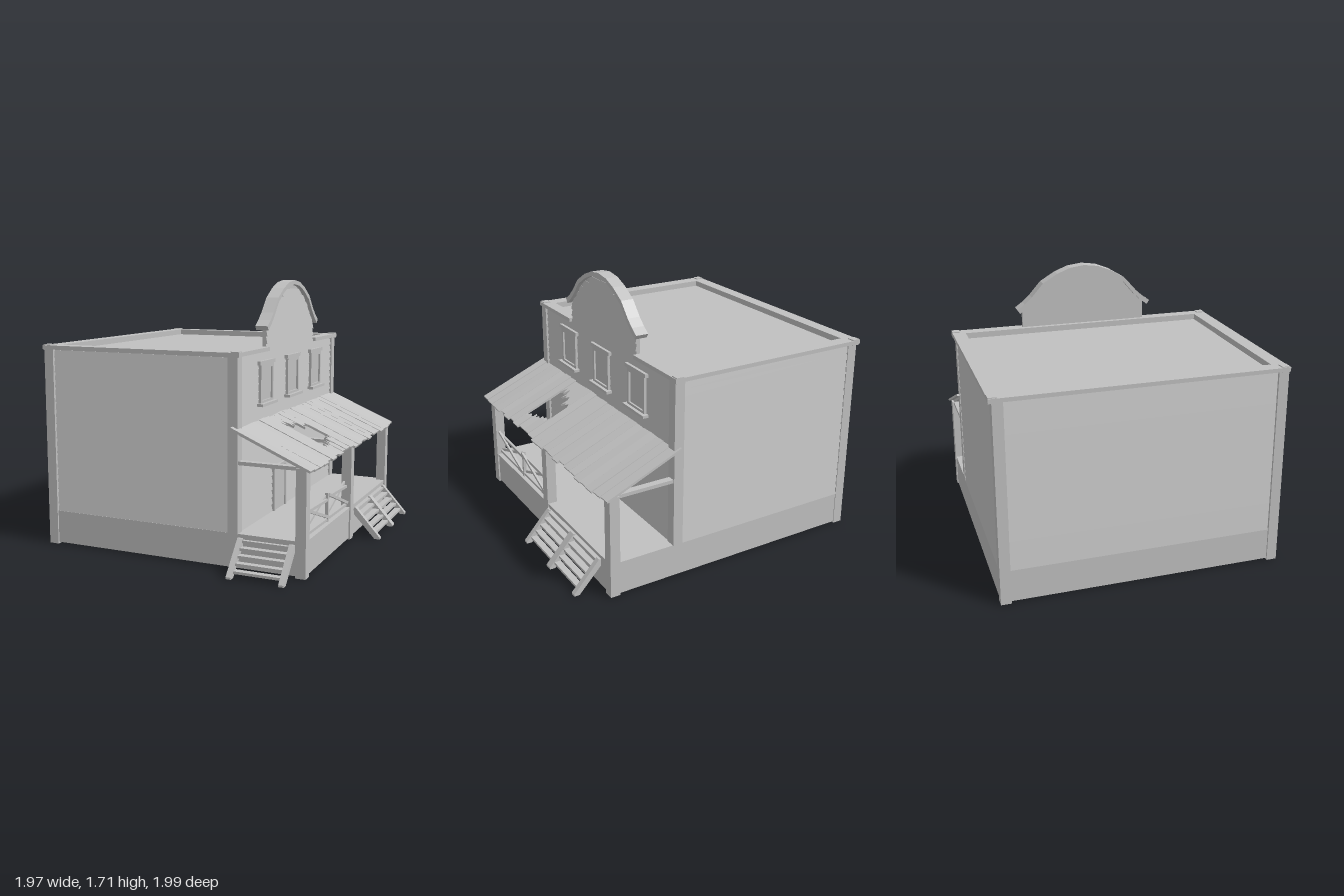
import * as THREE from 'three';
import { mergeGeometries } from 'three/addons/utils/BufferGeometryUtils.js';

const wood = new THREE.MeshStandardMaterial({ color: 0xc0c0c0 });
wood.name = 'weatheredWood';

const MID = -0.08;                 // z of the building's centre line
const FLOOR = 0.22;                // top of the foundation
const ROW = 0.0477;                // height of one siding board

let seed = 7;
const rand = () => (seed = (seed * 16807) % 2147483647) / 2147483647;

// Box given by its minimum and maximum corners
function box(x0, x1, y0, y1, z0, z1) {
  const g = new THREE.BoxGeometry(x1 - x0, y1 - y0, z1 - z0);
  return g.translate((x0 + x1) / 2, (y0 + y1) / 2, (z0 + z1) / 2);
}

// Straight bar between two points; h is measured across the slope, w sideways
function bar(a, b, h, w) {
  const va = new THREE.Vector3(...a), vb = new THREE.Vector3(...b);
  const m = new THREE.Matrix4().lookAt(vb, va, new THREE.Vector3(0, 1, 0));
  m.setPosition(va.clone().add(vb).multiplyScalar(0.5));
  return new THREE.BoxGeometry(w, h, va.distanceTo(vb)).applyMatrix4(m);
}

// Lapped board facing +z, thick at its lower edge
function clapboard(x0, x1, y) {
  const g = box(x0, x1, y, y + ROW, -0.01, 0.013);
  const p = g.attributes.position;
  for (let i = 0; i < p.count; i++)
    if (p.getZ(i) > 0 && p.getY(i) > y + ROW / 2) p.setZ(i, 0.003);
  g.computeVertexNormals();
  return g;
}

function siding(length) {
  const rows = [];
  for (let i = 0; i < 22; i++) rows.push(clapboard(-length / 2, length / 2, FLOOR + i * ROW));
  return mergeGeometries(rows);
}

// Half outline of the arched gable: offset from centre, height
const ARCH = [[0, 1.708], [0.1, 1.695], [0.19, 1.66], [0.29, 1.6], [0.37, 1.51], [0.42, 1.465], [0.47, 1.43]];

function mirrored(points) {
  return [...points.slice(1).reverse().map(([u, y]) => [-u, y]), ...points];
}

function extrudeX(points, x0, x1) {
  const shape = new THREE.Shape(points.map(([u, y]) => new THREE.Vector2(u, y)));
  const g = new THREE.ExtrudeGeometry(shape, { depth: x1 - x0, bevelEnabled: false });
  return g.rotateY(Math.PI / 2).translate(x0, 0, MID);
}

// Half width of the gable wall at height y
function gableHalfWidth(y) {
  if (y < 1.42) return 0.43;
  for (let i = 1; i < ARCH.length; i++) {
    const [u0, y0] = ARCH[i - 1], [u1, y1] = ARCH[i];
    if (y <= y0 - 0.02 && y >= y1 - 0.02)
      return Math.min(0.43, u0 + (u1 - u0) * (y0 - 0.02 - y) / (y0 - y1));
  }
  return 0;
}

// Porch roof board along the slope, with splintered ends where broken
function roofBoard(u0, u1, w, jag0, jag1) {
  const s = new THREE.Shape();
  const n = 4;
  for (let i = 0; i <= n; i++) {
    const j = jag1 ? (i % 2 ? 0.035 : 0) + rand() * 0.02 : 0;
    if (i) s.lineTo(u1 - j, -w / 2 + w * i / n); else s.moveTo(u1 - j, -w / 2);
  }
  for (let i = n; i >= 0; i--)
    s.lineTo(u0 + (jag0 ? (i % 2 ? 0.035 : 0) + rand() * 0.02 : 0), -w / 2 + w * i / n);
  const g = new THREE.ExtrudeGeometry(s, { depth: 0.014, bevelEnabled: false });
  return g.rotateX(-Math.PI / 2);
}

// Flight of open steps descending along +x from the origin, centred on z
function stairs(width, stringers) {
  const parts = [];
  const half = width / 2 - 0.016;
  for (let i = 0; i < stringers; i++) {
    const z = -half + 2 * half * i / (stringers - 1);
    const w = stringers === 3 && i === 1 ? 0.05 : 0.033;
    // Plumb cut at the top, level cut on the ground
    const s = new THREE.Shape([[0, 0.2], [0.012, 0.2], [0.18, 0.012], [0.18, 0], [0.145, 0], [0, 0.155]]
      .map(([x, y]) => new THREE.Vector2(x, y)));
    parts.push(new THREE.ExtrudeGeometry(s, { depth: w, bevelEnabled: false })
      .translate(0, 0, z - w / 2).toNonIndexed());
  }
  for (let i = 0; i < 5; i++) {
    const y = 0.19 - i * 0.037, x = 0.165 - y * 0.88;
    parts.push(box(x - 0.022, x + 0.02, y - 0.016, y, -half, half).toNonIndexed());
  }
  return mergeGeometries(parts);
}

export function createModel() {
  const model = new THREE.Group();
  const add = (name, geo, parent = model) => {
    const m = new THREE.Mesh(Array.isArray(geo) ? mergeGeometries(geo) : geo, wood);
    m.name = name;
    parent.add(m);
    return m;
  };

  // Foundation skirt, open underneath, and the floor over it
  add('foundationSkirt', [
    box(-0.97, 0.79, 0.01, 0.215, 0.79, 0.81), box(-0.97, 0.79, 0.01, 0.215, -0.965, -0.945),
    box(-0.97, -0.95, 0.01, 0.215, -0.945, 0.79), box(0.77, 0.79, 0.01, 0.215, -0.945, 0.79)]);
  add('floor', box(-0.97, 0.795, 0.2, FLOOR, -0.965, 0.81));

  // Main body with lapped siding on all four walls
  add('wallCore', box(-0.965, 0.35, FLOOR, 1.262, -0.955, 0.795));
  const walls = [
    ['frontSiding', 1.66, 0.35, MID, Math.PI / 2], ['backSiding', 1.66, -0.965, MID, -Math.PI / 2],
    ['leftSiding', 1.23, -0.305, 0.795, 0], ['rightSiding', 1.23, -0.305, -0.955, Math.PI]];
  for (const [name, length, x, z, turn] of walls) {
    const m = add(name, siding(length));
    m.position.set(x, 0, z);
    m.rotation.y = turn;
  }

  // Corner posts, with small blocks on top of the rim
  for (const [z0, z1] of [[0.755, 0.82], [-0.97, -0.905]]) {
    add('backCornerPost', box(-0.98, -0.915, 0, 1.28, z0, z1));
    add('frontCornerPost', box(0.305, 0.37, FLOOR, 1.28, z0, z1));
    const zc = z0 > 0 ? 0.795 : -0.965;
    for (const x of [-0.96, 0.35])
      add('cornerBlock', box(x - 0.025, x + 0.025, 1.27, 1.306, zc - 0.025, zc + 0.025));
  }

  // Roof rim, interrupted in front by the gable
  add('roofRim', [
    box(-0.99, 0.38, 1.275, 1.3, 0.735, 0.825), box(-0.99, 0.38, 1.275, 1.3, -0.99, -0.905),
    box(-0.99, -0.905, 1.275, 1.3, -0.905, 0.735), box(0.3, 0.345, 1.275, 1.3, -0.905, 0.735),
    box(0.345, 0.38, 1.275, 1.3, 0.35, 0.735), box(0.345, 0.38, 1.275, 1.3, -0.905, -0.51)]);
  add('rimSupport', [
    box(-0.965, 0.35, 1.25, 1.276, 0.735, 0.795), box(-0.965, 0.35, 1.25, 1.276, -0.955, -0.905),
    box(-0.965, -0.905, 1.25, 1.276, -0.905, 0.735), box(0.3, 0.35, 1.25, 1.276, -0.905, 0.735)]);

  // Arched gable with its own siding and a curved cap
  const inner = ARCH.slice(0, 6).map(([u, y]) => [Math.min(u, 0.43), y - 0.015]);
  add('gableWall', extrudeX([[-0.43, 1.26], ...mirrored([...inner, [0.43, 1.42]]), [0.43, 1.26]], 0.33, 0.35));
  const gableRows = [];
  for (let i = 22; i < 31; i++) {
    const y = FLOOR + i * ROW, w = gableHalfWidth(y + ROW);
    if (w > 0.05) gableRows.push(clapboard(-w, w, y));
  }
  const gableSiding = add('gableSiding', gableRows);
  gableSiding.position.set(0.35, 0, MID);
  gableSiding.rotation.y = Math.PI / 2;
  const under = ARCH.map(([u, y], i) => [u - 0.018 * i / 6, y - 0.027]);
  add('gableCap', extrudeX([...mirrored(ARCH), ...mirrored(under).reverse()], 0.297, 0.38));

  // Upper windows
  for (const z of [0.38, MID, -0.535]) {
    const win = new THREE.Group();
    win.name = 'window';
    win.position.set(0.36, 0, z);
    model.add(win);
    add('pane', box(-0.01, 0.006, 0.96, 1.2, -0.09, 0.09), win);
    add('frame', [
      box(0, 0.018, 0.96, 1.2, 0.083, 0.103), box(0, 0.018, 0.96, 1.2, -0.103, -0.083),
      box(0, 0.018, 1.175, 1.2, -0.083, 0.083), box(0, 0.018, 0.96, 0.975, -0.083, 0.083)], win);
    add('lintel', box(0, 0.022, 1.198, 1.222, -0.123, 0.123), win);
    add('sill', box(0, 0.04, 0.942, 0.96, -0.125, 0.125), win);
  }

  // Entrance door on the porch
  add('door', box(0.35, 0.368, FLOOR, 0.5, 0.05, 0.225));
  add('doorFrame', [
    box(0.35, 0.376, FLOOR, 0.52, 0.225, 0.245), box(0.35, 0.376, FLOOR, 0.52, 0.03, 0.05),
    box(0.35, 0.376, 0.5, 0.52, 0.03, 0.245)]);

  // Porch posts, cross beams and rafters
  for (const [z0, z1] of [[0.755, 0.82], [-0.113, -0.048], [-0.97, -0.905]]) {
    add('porchPost', box(0.735, 0.8, 0, 0.655, z0, z1));
    add('porchBeam', box(0.35, 0.74, 0.638, 0.66, z0 + 0.01, z1 - 0.01));
    const z = (z0 + z1) / 2;
    add('rafter', bar([0.345, 0.838, z], [0.775, 0.652, z], 0.02, 0.04));
  }
  add('eaveBeam', box(0.745, 0.79, 0.632, 0.655, -0.95, 0.8));

  // Porch roof of uneven boards, broken through in one place
  const slope = Math.atan2(-0.215, 0.5), run = Math.hypot(0.215, 0.5), count = 24;
  const step = 1.84 / count;
  const roof = new THREE.Group();
  roof.name = 'porchRoof';
  roof.position.set(0.32, 0.853, 0);
  roof.rotation.z = slope;
  model.add(roof);
  const holes = { 14: [0.25, 0.37], 15: [0.2, 0.4], 16: [0.17, 0.42] };
  for (let i = 0; i < count; i++) {
    const end = run + rand() * 0.022, w = step * (0.97 + rand() * 0.06), hole = holes[i];
    const pieces = hole
      ? [roofBoard(0, hole[0], w, false, true), roofBoard(hole[1], end, w, true, false)]
      : [roofBoard(rand() * 0.015, end, w, false, false)];
    for (const g of pieces) {
      const m = add('roofBoard', g, roof);
      m.position.set(0, rand() * 0.007, -0.985 + step * (i + 0.5));
      m.rotation.set((rand() - 0.5) * 0.08, (rand() - 0.5) * 0.02, 0);
    }
  }

  // Railing of crooked poles in two bays
  add('railingPost', box(0.755, 0.775, FLOOR, 0.405, 0.33, 0.35));
  for (const [a, b] of [[0.755, 0.34], [0.34, -0.05]]) {
    const x = 0.765;
    add('railing', [
      bar([x, 0.375, a], [x, 0.36, b], 0.018, 0.016),
      bar([x, 0.24, a], [x, 0.235, b], 0.018, 0.016),
      bar([x + 0.012, 0.395, a], [x + 0.012, 0.25, b], 0.018, 0.014),
      bar([x - 0.012, 0.25, a], [x - 0.012, 0.385, b], 0.018, 0.014)]);
  }

  // Front steps and side steps
  add('frontSteps', stairs(0.72, 3)).position.set(0.8, 0, -0.488);
  const side = add('sideSteps', stairs(0.36, 2));
  side.position.set(0.552, 0, 0.815);
  side.rotation.y = -Math.PI / 2;

  return model;
}
